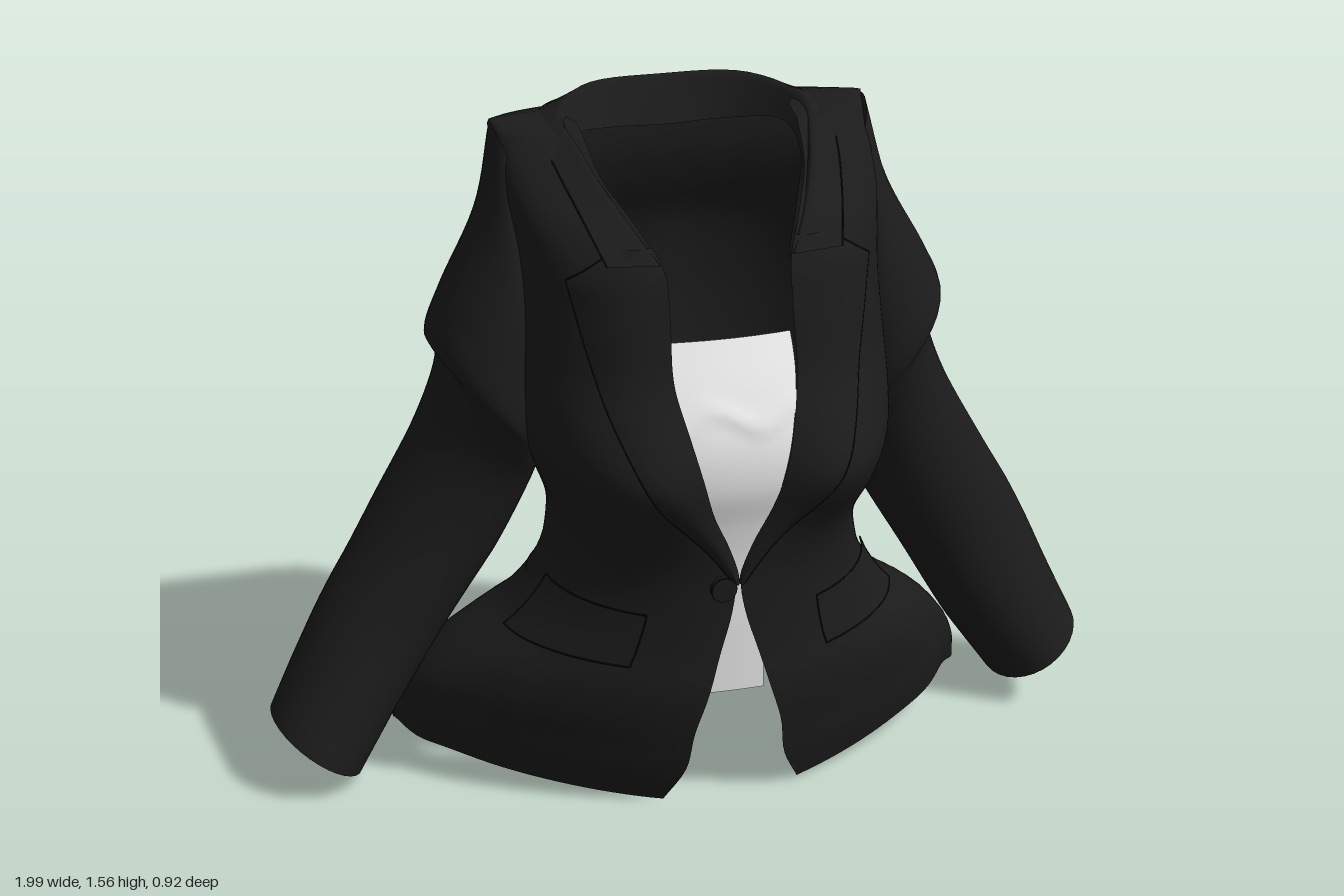
import * as THREE from 'three';

const V = (x, y, z) => new THREE.Vector3(x, y, z);
const clamp = THREE.MathUtils.clamp, lerp = THREE.MathUtils.lerp;
const gauss = (d, w) => Math.exp(-(d * d) / (w * w));
const spow = (v, p) => Math.sign(v) * Math.pow(Math.abs(v), p);
const MID = 0.025; // closure, neck and shoulders sit slightly off centre
const shift = y => MID * clamp((y - 0.2) / 0.35, 0, 1);

const material = (name, color) => {
  const m = new THREE.MeshStandardMaterial({ color, side: THREE.DoubleSide });
  m.name = name;
  return m;
};

// Smooth lookup in a table whose first column is the key
function table(rows) {
  const n = rows[0].length - 1;
  const it = new THREE.CubicInterpolant(rows.map(r => r[0]), rows.flatMap(r => r.slice(1)), n);
  return k => Array.from(it.evaluate(clamp(k, rows[0][0], rows[rows.length - 1][0])));
}

// Curved sheet: fn(u, v) gives a point, u across and v along
function sheet(nu, nv, fn) {
  const g = new THREE.PlaneGeometry(1, 1, nu, nv);
  const pos = g.attributes.position;
  for (let j = 0, k = 0; j <= nv; j++)
    for (let i = 0; i <= nu; i++, k++) {
      const p = fn(i / nu, j / nv);
      pos.setXYZ(k, p.x, p.y, p.z);
    }
  g.computeVertexNormals();
  return g;
}

// Torso sections: height, half width, front z, back z, half opening
const torso = table([
  [0, 0.7, 0.36, -0.475, 0.165], [0.1, 0.69, 0.39, -0.462, 0.12],
  [0.2, 0.65, 0.405, -0.425, 0.105], [0.3, 0.57, 0.41, -0.365, 0.075],
  [0.4, 0.46, 0.395, -0.29, 0.045], [0.5, 0.385, 0.385, -0.255, 0.015],
  [0.58, 0.36, 0.38, -0.265, 0.006], [0.66, 0.355, 0.385, -0.28, 0.03],
  [0.75, 0.385, 0.39, -0.3, 0.07], [0.85, 0.42, 0.395, -0.325, 0.1],
  [0.95, 0.43, 0.382, -0.343, 0.125], [1.05, 0.43, 0.347, -0.353, 0.145],
  [1.2, 0.42, 0.313, -0.343, 0.145], [1.3, 0.42, 0.278, -0.3, 0.15],
  [1.38, 0.43, 0.205, -0.277, 0.19], [1.45, 0.435, 0.1, -0.275, 0.235],
  [1.52, 0.44, -0.01, -0.285, 0.25],
]);
const power = y => lerp(1.35, 0.76, clamp((y - 0.15) / 0.6, 0, 1));
const angleAt = (x, y) => Math.asin(clamp(spow((x - shift(y)) / torso(y)[0], 1 / power(y)), -1, 1));

// Torso surface at angle a (0 = front, towards +x) and height y, pushed out by off
function surface(a, y, off = 0) {
  const [w, zF, zB] = torso(y), p = power(y);
  const zc = Math.min(0.06, (zF + zB) / 2);
  const s = Math.sin(a), c = Math.cos(a);
  const flare = clamp((0.4 - y) / 0.25, 0, 1), low = clamp((0.4 - y) / 0.4, 0, 1);
  let x = w * spow(s, p);
  let z = zc + (c > 0 ? (zF - zc) * spow(c, p) : (zc - zB) * spow(c, lerp(0.8, 0.6, flare)));
  if (c > 0) {
    z += 0.075 * gauss(Math.abs(x) - 0.25, 0.16) * gauss(y - 0.83, 0.13); // bust
  } else {
    // rounder, narrower back skirt with a centre groove
    x = w * spow(s, lerp(p, 1, flare)) * (1 - 0.2 * flare * THREE.MathUtils.smoothstep(-c, 0, 0.5));
    z += 0.03 * gauss(x, 0.07) * clamp(1.3 - y, 0, 1);
  }
  z += 0.025 * low * gauss(c, 0.35) * Math.sin(a * 14); // rumpled sides of the hem
  const lift = 0.1 * s * s + (c < 0 ? 0.05 * c * c : 0);
  return V(shift(y) + x + off * s, y + lift * low, z + off * c);
}

// Sleeve rings: key, outer x y, inner x y, front z, back z
const sleeveRings = table([
  [0, 0.44, 1.535, 0.34, 1.25, -0.02, -0.23], [1, 0.48, 1.36, 0.33, 1.0, 0.08, -0.27],
  [2, 0.57, 1.19, 0.33, 0.88, 0.12, -0.28], [3, 0.612, 1.09, 0.34, 0.82, 0.13, -0.28],
  [4, 0.585, 1.02, 0.36, 0.77, 0.105, -0.28], [5, 0.64, 0.86, 0.38, 0.7, 0.06, -0.27],
  [6, 0.75, 0.66, 0.445, 0.57, 0.045, -0.265], [7, 0.86, 0.47, 0.57, 0.38, 0.06, -0.24],
  [8, 0.93, 0.33, 0.68, 0.21, 0.1, -0.22], [9, 0.995, 0.2, 0.79, 0.055, 0.15, -0.18],
]);
function sleevePoint(side, u, k, scale = 1) {
  const [ox, oy, ix, iy, zf, zb] = sleeveRings(k);
  const t = u * Math.PI * 2, c = -Math.cos(t) * scale, s = Math.sin(t) * scale;
  const y = (oy + iy) / 2 + c * (oy - iy) / 2;
  const drop = side < 0 ? 0.03 * Math.min(1, k / 3) : 0; // this arm hangs a little lower
  return V(shift(y) + side * ((ox + ix) / 2 + c * (ox - ix) / 2), y - drop,
    (zf + zb) / 2 + s * (zf - zb) / 2);
}

// Lapel outer edge: height, half width from the closure
const lapelEdge = table([
  [0.57, 0.012], [0.65, 0.07], [0.8, 0.2], [0.95, 0.27], [1.1, 0.31], [1.27, 0.345],
]);
const lapelPoint = (side, u, y, off) => {
  const outer = y < 1.27 ? lapelEdge(y)[0] : lerp(0.345, 0.24, (y - 1.27) / 0.07);
  const x = MID + side * lerp(torso(y)[3] - 0.006, outer, u);
  return surface(angleAt(x, y), y, off + 0.01 * Math.sin(u * Math.PI));
};

// Half neckline from the lapel to the centre back, mirrored across the closure
function neckCurve(half) {
  const left = half.map(p => V(p[0] + MID, p[1], p[2]));
  const right = half.slice(0, -1).reverse().map(p => V(MID - p[0], p[1], p[2]));
  return new THREE.CatmullRomCurve3([...left, ...right]);
}
const collarLines = [
  [[0.145, 1.3, 0.26], [0.2, 1.39, 0.145], [0.25, 1.46, 0], [0.24, 1.49, -0.12], [0.14, 1.47, -0.22], [0, 1.46, -0.24]],
  [[0.155, 1.31, 0.285], [0.22, 1.405, 0.17], [0.27, 1.505, 0.02], [0.285, 1.55, -0.1], [0.19, 1.57, -0.25], [0, 1.565, -0.3]],
  [[0.27, 1.31, 0.265], [0.3, 1.39, 0.165], [0.33, 1.475, 0.025], [0.34, 1.53, -0.12], [0.23, 1.525, -0.3], [0, 1.515, -0.33]],
].map(neckCurve);

export function createModel() {
  const group = new THREE.Group();
  const cloth = material('black cloth', 0x1b1b1b);
  const dark = material('dark seam', 0x0e0e0e);
  const white = material('white shirt', 0xeeeeee);
  const add = (name, geometry, mat) => {
    const m = new THREE.Mesh(geometry, mat);
    m.name = name;
    group.add(m);
    return m;
  };
  const seam = (name, points, r = 0.002) =>
    add(name, new THREE.TubeGeometry(new THREE.CatmullRomCurve3(points), points.length * 3, r, 5), dark);
  const line = (n, fn) => Array.from({ length: n + 1 }, (_, i) => fn(i / n));

  // Jacket body, open at the front
  const wrapPoint = (u, y) => {
    const open = torso(y)[3];
    const a0 = angleAt(MID + open, y), a1 = Math.PI * 2 + angleAt(MID - open, y);
    return surface(lerp(a0, a1, u), y);
  };
  add('jacketBody', sheet(120, 64, (u, v) => wrapPoint(u, 1.52 * v)), cloth);

  // Shoulder tops, closing the body between front and back outside the neck
  add('shoulderTops', sheet(120, 3, (u, v) => {
    const p = wrapPoint(u, 1.52);
    const side = THREE.MathUtils.smoothstep(Math.abs(p.x - MID), 0.2, 0.29);
    p.z = lerp(p.z, -0.14, v * side);
    p.y += 0.02 * Math.sin(v * Math.PI / 2) * side;
    return p;
  }), cloth);

  // Turned collar
  const n = collarLines.length - 1;
  add('collar', sheet(56, 10, (u, v) => {
    const k = Math.min(Math.floor(v * n), n - 1);
    return collarLines[k].getPoint(u).lerp(collarLines[k + 1].getPoint(u), v * n - k);
  }), cloth);
  seam('collarEdge', line(40, t => collarLines[2].getPoint(t)));

  for (const side of [-1, 1]) {
    const label = side > 0 ? 'left' : 'right';

    // Sleeve with a turned-in cuff
    add(label + 'Sleeve', sheet(32, 60, (u, v) => sleevePoint(side, u, v * 9)), cloth);
    add(label + 'CuffLining', sheet(32, 4, (u, v) => sleevePoint(side, u, 9 - v * 0.4, 1 - v)), cloth);
    add(label + 'SleeveCap', sheet(32, 2, (u, v) => sleevePoint(side, u, 0, 1 - v)), cloth);

    // Notched lapel and its edge
    add(label + 'Lapel', sheet(10, 44, (u, v) => lapelPoint(side, u, lerp(0.57, 1.34, v), 0.008)), cloth);
    seam(label + 'LapelEdge', line(36, t => lapelPoint(side, 1, lerp(0.57, 1.27, t), 0.007)));
    seam(label + 'LapelNotch', line(8, t => lapelPoint(side, 1, lerp(1.27, 1.34, t), 0.007)));

    // Slanted pocket flap wrapping round the hip
    const flap = (u, v) => {
      const y = lerp(0.37, 0.495, v) + 0.02 * u;
      return surface(side * lerp(0.54, 1.42, u), y, 0.008);
    };
    add(label + 'PocketFlap', sheet(12, 5, flap), cloth);
    seam(label + 'PocketTop', line(8, t => flap(t, 1)));
    seam(label + 'PocketBottom', line(8, t => flap(t, 0)));
    for (const u of [0, 1]) seam(label + 'PocketSide', line(4, t => flap(u, t)));
  }

  // Waist seam round the back and centre vent line below it
  seam('waistSeam', line(30, t => surface(lerp(1.7, Math.PI * 2 - 1.7, t), 0.47)), 0.0015);
  seam('backVent', line(8, t => surface(Math.PI, lerp(0.1, 0.36, t))), 0.0015);

  // Shirt panel seen in the opening, narrowing to a small tail
  const shirtFront = table([
    [0.29, 0.37], [0.45, 0.365], [0.6, 0.36], [0.7, 0.372], [0.8, 0.392],
    [0.9, 0.38], [1.0, 0.33], [1.11, 0.25],
  ]);
  add('shirt', sheet(12, 50, (u, v) => {
    const y = lerp(0.29, 1.11, v);
    const open = torso(y)[3] + 0.012;
    const x = (u * 2 - 1) * (y < 0.5 ? Math.min(open, 0.066) : open);
    const fold = 0.008 * gauss(y - 0.96 + 0.02 * Math.sin(x * 30), 0.02);
    return V(MID + x, y, shirtFront(y)[0] + fold - 0.5 * x * x);
  }), white);

  // Front button
  const button = add('button', new THREE.CylinderGeometry(0.028, 0.03, 0.014, 24), cloth);
  button.rotation.x = Math.PI / 2;
  button.position.set(-0.012, 0.56, 0.389);
  const rim = add('buttonRim', new THREE.TorusGeometry(0.029, 0.002, 6, 24), dark);
  rim.position.set(-0.012, 0.56, 0.393);

  return group;
}
